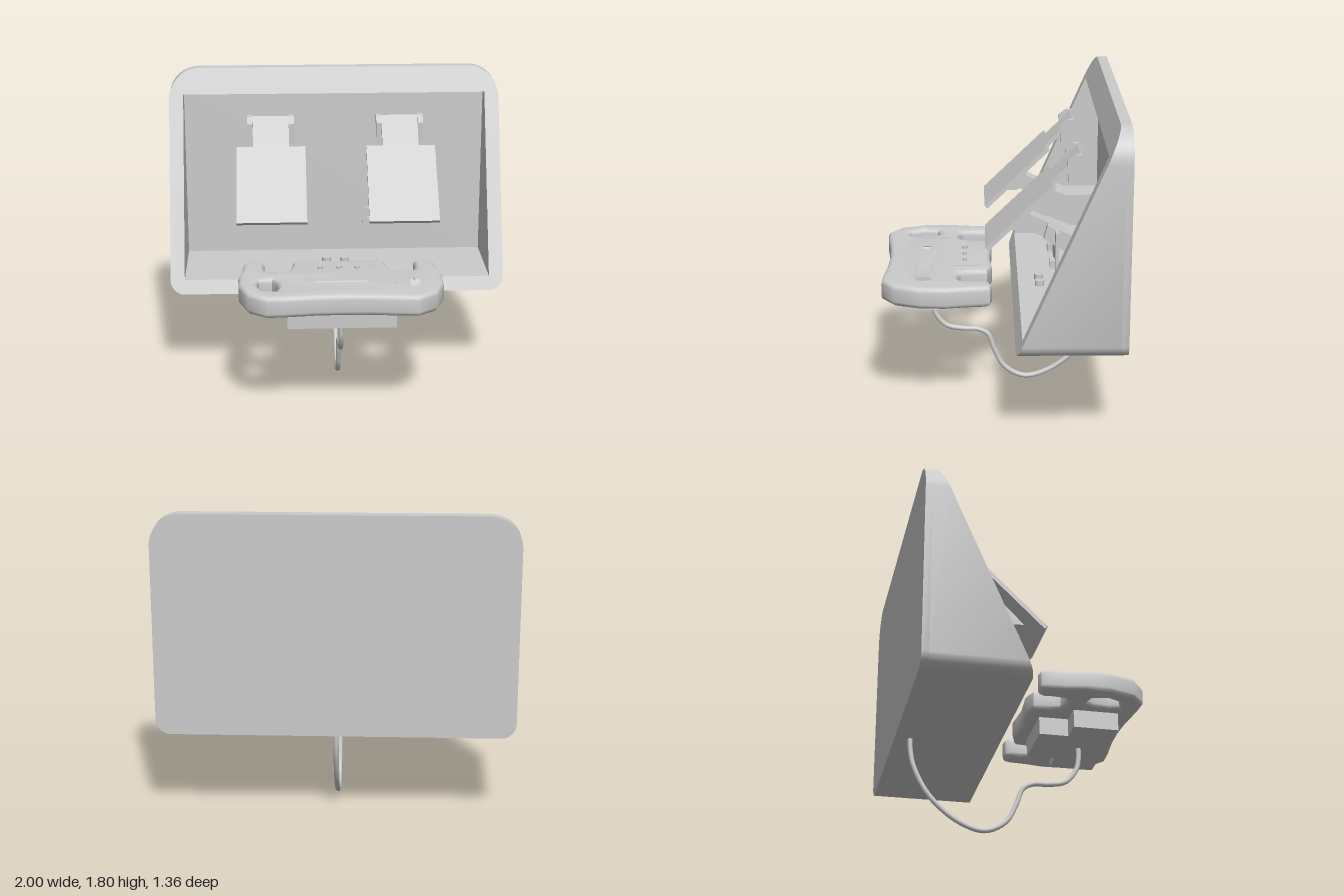
import * as THREE from 'three';
import { toCreasedNormals } from 'three/addons/utils/BufferGeometryUtils.js';

const mat = new THREE.MeshStandardMaterial({ color: 0xcccccc });

function add(parent, name, geo, x = 0, y = 0, z = 0) {
  const m = new THREE.Mesh(geo, mat);
  m.name = name;
  m.position.set(x, y, z);
  parent.add(m);
  return m;
}
const box = (w, h, d) => new THREE.BoxGeometry(w, h, d);
const poly = (pts) => new THREE.Shape(pts.map(([a, b]) => new THREE.Vector2(a, b)));
const flat = (shape, depth) => new THREE.ExtrudeGeometry(shape, { depth, bevelEnabled: false, curveSegments: 8 });

// Side profile given as [z, y], extruded across x and centred on it
function sideProfile(pts, width) {
  const g = flat(poly(pts.map(([z, y]) => [-z, y])), width);
  return g.rotateY(Math.PI / 2).translate(-width / 2, 0, 0);
}

// Housing outline: large upper corners, small lower ones
function housingShape() {
  const s = new THREE.Shape(), b = 0.54, t = 1.8, r = 0.18, c = 0.07;
  s.moveTo(-1 + c, b);
  s.lineTo(1 - c, b);
  s.quadraticCurveTo(1 - c * 0.2, b + c * 0.2, 1, b + c);
  s.lineTo(1, t - r);
  s.absarc(1 - r, t - r, r, 0, Math.PI / 2);
  s.lineTo(-1 + r, t);
  s.absarc(-1 + r, t - r, r, Math.PI / 2, Math.PI);
  s.lineTo(-1, b + c);
  s.quadraticCurveTo(-1 + c * 0.2, b + c * 0.2, -1 + c, b);
  return s;
}

function buildHousing(root) {
  const g = new THREE.Group();
  g.name = 'housing';
  root.add(g);
  // Wedge-shaped frame: its front face leans back with height
  const shape = housingShape();
  shape.holes.push(poly([[-0.915, 0.62], [-0.915, 1.65], [0.915, 1.65], [0.915, 0.62]]));
  const geo = flat(shape, 1);
  const p = geo.attributes.position;
  for (let i = 0; i < p.count; i++) {
    const front = -0.075 - (p.getY(i) - 0.54) * 0.433;
    p.setZ(i, p.getZ(i) > 0.5 ? front : -0.64);
  }
  add(g, 'housingFrame', toCreasedNormals(geo, 0.5));
  add(g, 'backPanel', toCreasedNormals(flat(housingShape(), 0.04), 0.5), 0, 0, -0.68);
  // Four studs on the floor
  for (const x of [-0.055, 0.055]) for (const z of [-0.4, -0.235])
    add(g, 'floorStud', new THREE.CylinderGeometry(0.027, 0.027, 0.035, 16), x, 0.635, z);
}

function buildPedal(root, x, name) {
  const g = new THREE.Group();
  g.name = name;
  g.position.x = x;
  root.add(g);
  // T-shaped sloping plate
  const plate = flat(poly([[-0.205, 0], [0.205, 0], [0.205, 0.512], [0.108, 0.512],
    [0.108, 0.725], [-0.108, 0.725], [-0.108, 0.512], [-0.205, 0.512]]), 0.025);
  add(g, 'pedalPlate', plate.rotateX(-0.8), 0, 1.02, 0.07);
  const fin = sideProfile([[-0.445, 1.548], [-0.425, 1.5], [-0.37, 1.386], [-0.365, 1.51], [-0.41, 1.545]], 0.033);
  const cheek = sideProfile([[-0.02, 1.1], [-0.1, 1.095], [-0.14, 1.11], [-0.163, 1.15],
    [-0.163, 1.21], [-0.14, 1.225]], 0.02);
  for (const s of [-1, 1]) {
    add(g, 'sideFin', fin, s * 0.124);
    add(g, 'hingeCheek', cheek, s * 0.066);
  }
  add(g, 'hingePin', new THREE.CylinderGeometry(0.018, 0.018, 0.17, 16).rotateZ(Math.PI / 2), 0, 1.147, -0.12);
  // Arm running down and back to the wall mount
  add(g, 'pedalArm', sideProfile([[-0.1, 1.17], [-0.135, 1.195], [-0.5, 1.02], [-0.5, 0.93], [-0.13, 1.1]], 0.1));
  add(g, 'wallMount', sideProfile([[-0.26, 1.13], [-0.4, 1.07], [-0.64, 1.07], [-0.64, 0.89],
    [-0.5, 0.89], [-0.24, 1.05]], 0.19));
}

function buildSwitchPlate(root) {
  const g = new THREE.Group();
  g.name = 'switchPlate';
  root.add(g);
  add(g, 'plate', flat(poly([[0.16, 0.9], [0.6, 0.9], [0.6, 1.12], [0.5, 1.12], [0.5, 1.0], [0.16, 1.0]]), 0.02), 0, 0, -0.32);
  for (const x of [0.225, 0.52]) add(g, 'plateLug', box(0.07, 0.045, 0.04), x, 0.925, -0.29);
}

// Outline of the +x half of the wheel as [x, z], back to front
const HALF = [[0.1, 0.052], [0.18, 0.045], [0.27, 0.075], [0.28, 0.17], [0.3, 0.225], [0.34, 0.245],
  [0.4, 0.24], [0.43, 0.22], [0.44, 0.15], [0.435, 0.09], [0.455, 0.06], [0.5, 0.05], [0.54, 0.06],
  [0.557, 0.1], [0.565, 0.2], [0.585, 0.31], [0.58, 0.45], [0.527, 0.6], [0.425, 0.675],
  [0.32, 0.67], [0.16, 0.652]];
const GRIP = [[0.355, 0.405], [0.39, 0.35], [0.47, 0.37], [0.485, 0.455], [0.44, 0.54], [0.37, 0.555], [0.35, 0.5]];
// Grip hole drawn slightly smaller, since the bevel opens it up
const GRIP_IN = GRIP.map(([x, z]) => [0.418 + (x - 0.418) * 0.92, 0.45 + (z - 0.45) * 0.95]);

function buildWheel(root) {
  const g = new THREE.Group();
  g.name = 'steeringWheel';
  root.add(g);
  const toXY = (pts, s = 1) => pts.map(([x, z]) => [s * x, -z]);
  const shape = poly([[0, -0.06], ...toXY(HALF), [0, -0.645], ...toXY(HALF, -1).reverse()]);
  shape.holes.push(poly(toXY(GRIP_IN)), poly(toXY(GRIP_IN, -1)),
    poly([[-0.175, -0.385], [0.175, -0.385], [0.175, -0.485], [-0.175, -0.485]]));
  const b = 0.028;
  const body = new THREE.ExtrudeGeometry(shape, { depth: 0.125 - 2 * b, bevelThickness: b, bevelSize: b, bevelOffset: -b, bevelSegments: 4 });
  add(g, 'wheelBody', toCreasedNormals(body.rotateX(-Math.PI / 2), 0.7), 0, 0.67 + b, 0);
  add(g, 'display', box(0.36, 0.09, 0.11), 0, 0.725, 0.435);
  for (const x of [-0.115, -0.005, 0.1])
    add(g, 'button', new THREE.CylinderGeometry(0.014, 0.014, 0.03, 16), x, 0.795, 0.205);
  add(g, 'slot', box(0.006, 0.01, 0.17), 0.2, 0.792, 0.205);
  for (const s of [-1, 1]) add(g, 'panelSeam', box(0.004, 0.01, 0.27), s * 0.31, 0.791, 0.415);
  // Stepped box under the wheel
  add(g, 'lowerBox', box(0.615, 0.115, 0.26), 0, 0.6225, 0.43);
  add(g, 'rearBox', box(0.34, 0.115, 0.18), 0, 0.6225, 0.22);
}

function buildCable(root) {
  const pts = [[0.4, 0.58], [0.4, 0.5], [0.385, 0.43], [0.32, 0.35], [0.22, 0.327], [0.13, 0.322], [0.07, 0.29],
    [0.03, 0.19], [-0.03, 0.08], [-0.15, 0.018], [-0.3, 0.06], [-0.47, 0.2], [-0.565, 0.37], [-0.588, 0.48], [-0.59, 0.57]];
  const path = new THREE.CatmullRomCurve3(pts.map(([z, y]) => new THREE.Vector3(0, y, z)));
  add(root, 'cable', new THREE.TubeGeometry(path, 80, 0.015, 10));
}

export function createModel() {
  const root = new THREE.Group();
  root.name = 'wheelAndPedalSet';
  buildHousing(root);
  buildPedal(root, -0.388, 'rightPedal');
  buildPedal(root, 0.385, 'leftPedal');
  buildSwitchPlate(root);
  buildWheel(root);
  buildCable(root);
  return root;
}
